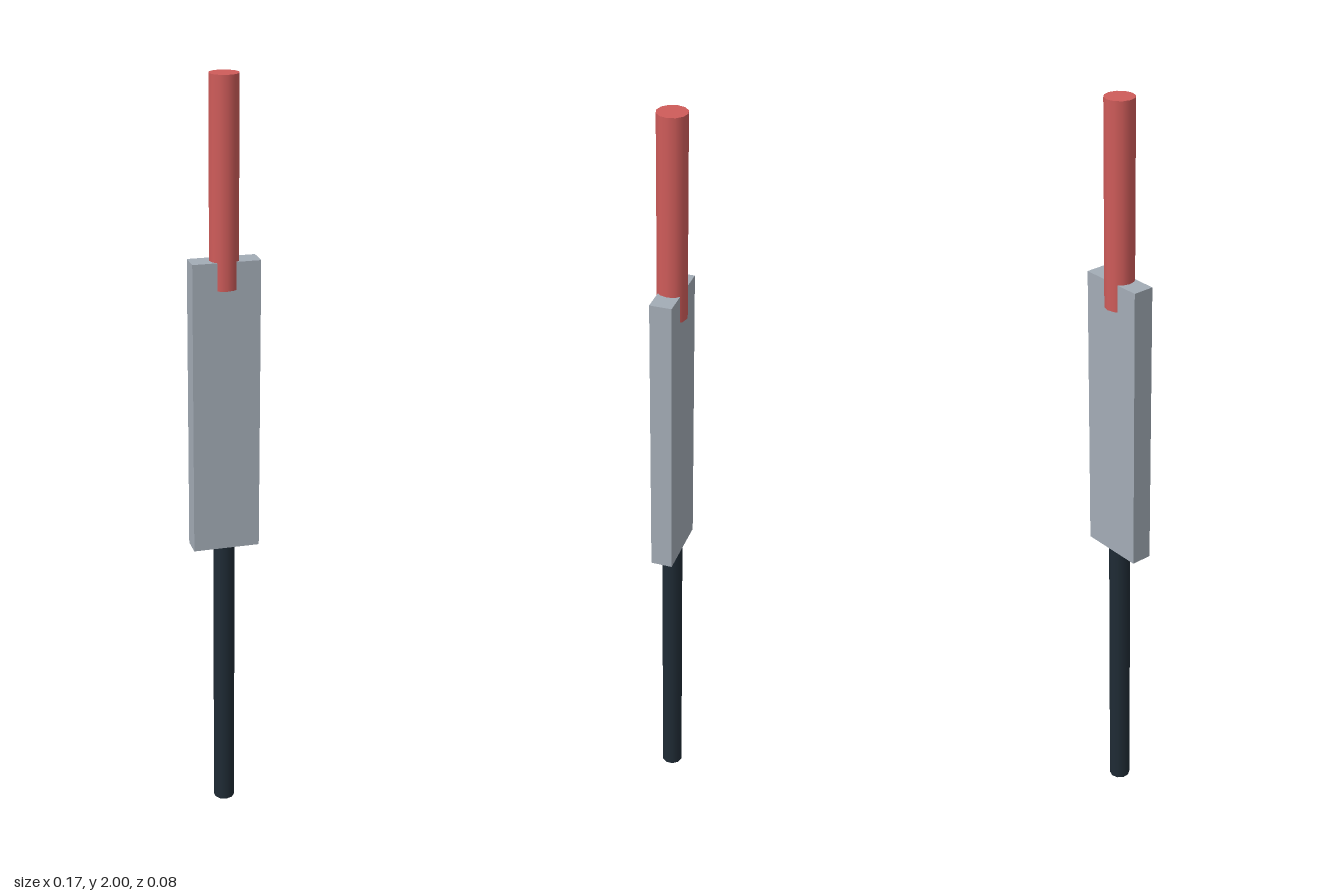
import * as THREE from 'three';

const red = new THREE.MeshStandardMaterial({ color: 0xcf5c5a });
red.name = 'red';
const grey = new THREE.MeshStandardMaterial({ color: 0xa3acb6 });
grey.name = 'grey';
const dark = new THREE.MeshStandardMaterial({ color: 0x1f2b35 });
dark.name = 'dark';

export function createModel() {
  const model = new THREE.Group();
  model.name = 'model';

  // adds a part that spans the heights bottom to top
  function add(name, geometry, material, bottom, top) {
    const mesh = new THREE.Mesh(geometry, material);
    mesh.name = name;
    mesh.position.y = (bottom + top) / 2;
    model.add(mesh);
  }
  const rod = (radius, bottom, top, sides) =>
    new THREE.CylinderGeometry(radius, radius, top - bottom, sides);

  // thin lower rod, flat block and thick upper rod sunk into its top
  add('lowerRod', rod(0.028, 0, 0.79, 10), dark, 0, 0.79);
  add('block', new THREE.BoxGeometry(0.174, 0.77, 0.056), grey, 0.776, 1.546);
  add('upperRod', rod(0.038, 1.475, 2, 12), red, 1.475, 2);

  return model;
}
